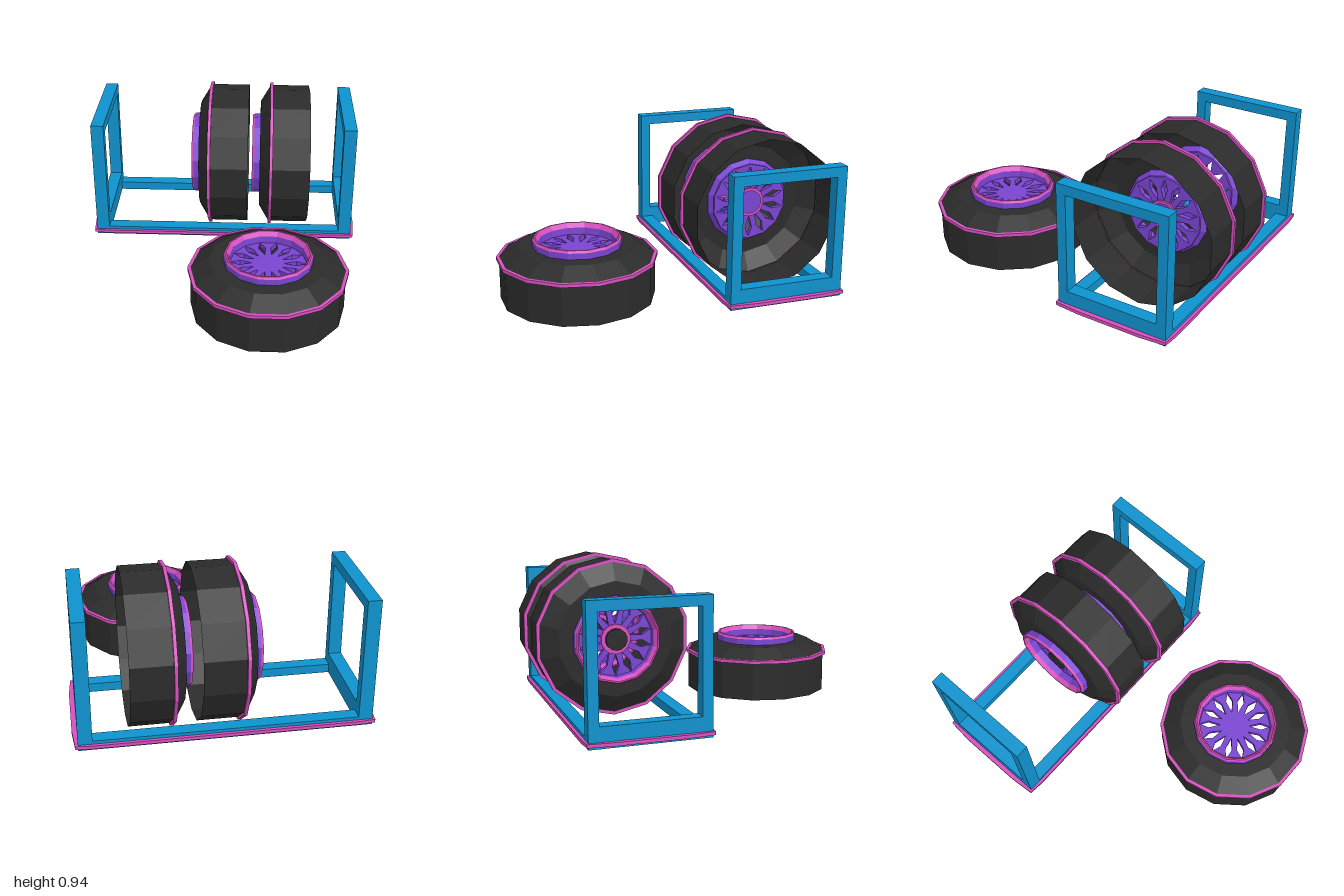
import * as THREE from 'three';

const SIDES = 14;

function material(name, color) {
  return new THREE.MeshStandardMaterial({ name, color, flatShading: true, side: THREE.DoubleSide });
}

export function createModel() {
  const black = material('black rubber', 0x2b2b2b);
  const pink = material('pink trim', 0xd850c0);
  const purple = material('purple metal', 0x7a45d2);
  const blue = material('blue frame', 0x0f92ce);

  const model = new THREE.Group();
  model.name = 'wheelRack';

  function add(parent, name, geometry, mat) {
    const mesh = new THREE.Mesh(geometry, mat);
    mesh.name = name;
    parent.add(mesh);
    return mesh;
  }

  function box(parent, name, w, h, d, x, y, z) {
    add(parent, name, new THREE.BoxGeometry(w, h, d), blue).position.set(x, y, z);
  }

  // Turned part with a corner on the local x axis
  function turned(points) {
    return new THREE.LatheGeometry(points.map(([r, y]) => new THREE.Vector2(r, y)), SIDES, Math.PI / 2);
  }

  // Disc pierced by kite-shaped slits, lying flat with its underside at y
  function spokeDisc(y, thickness) {
    const shape = new THREE.Shape();
    const at = (r, a) => new THREE.Vector2(r * Math.cos(a), r * Math.sin(a));
    const outline = [];
    for (let i = 0; i < SIDES; i++) {
      const a = (i / SIDES) * Math.PI * 2;
      outline.push(at(0.236, a));
      shape.holes.push(new THREE.Path([at(0.09, a), at(0.165, a - 0.13), at(0.222, a), at(0.165, a + 0.13)]));
    }
    shape.setFromPoints(outline);
    const g = new THREE.ExtrudeGeometry(shape, { depth: thickness, bevelEnabled: false });
    return g.rotateX(-Math.PI / 2).translate(0, y, 0);
  }

  // Wheel standing on its open back, outer face up
  function wheel(name, withHub) {
    const g = new THREE.Group();
    g.name = name;
    add(g, 'tyre', turned([[0.452, 0.015], [0.452, 0.265], [0.345, 0.33], [0.25, 0.33]]), black);
    add(g, 'tyreStripe', turned([[0.451, 0.25], [0.468, 0.25], [0.468, 0.27], [0.449, 0.27]]), pink);
    add(g, 'rimBarrel', turned([[0.225, 0.28], [0.26, 0.325], [0.26, 0.366]]), purple);
    add(g, 'rimLip', turned([[0.26, 0.366], [0.252, 0.38], [0.243, 0.38], [0.226, 0.352]]), pink);
    add(g, 'rimBowl', turned([[0.226, 0.352], [0.222, 0.29]]), purple);
    add(g, 'spokes', spokeDisc(0.28, 0.03), purple);
    if (withHub) {
      add(g, 'hubRing', turned([[0.072, 0.27], [0.09, 0.27], [0.09, 0.322], [0.06, 0.322]]), pink);
      add(g, 'hubCap', turned([[0.065, 0.311], [0.065, 0.345], [0, 0.345]]), black);
    }
    model.add(g);
    return g;
  }

  // One wheel lying flat in front, two upright in the rack
  wheel('lyingWheel', false).position.set(0.29, 0, 0.544);
  [0.17, 0.56].forEach((x, i) => {
    const w = wheel('uprightWheel' + (i + 1), true);
    w.rotation.z = Math.PI / 2;
    w.position.set(x, 0.471, -0.544);
  });

  // Rack frame
  const rack = new THREE.Group();
  rack.name = 'rack';
  rack.position.z = -0.54;
  model.add(rack);
  for (const s of [-1, 1]) {
    box(rack, 'baseRail', 1.52, 0.055, 0.08, 0, 0.0575, s * 0.305);
    box(rack, 'endSill', 0.08, 0.12, 0.57, s * 0.79, 0.09, 0);
    box(rack, 'endTopBar', 0.08, 0.06, 0.57, s * 0.79, 0.78, 0);
    for (const t of [-1, 1]) box(rack, 'post', 0.08, 0.78, 0.06, s * 0.79, 0.42, t * 0.315);
  }

  // Slightly bowed trim around the base
  const trim = new THREE.Shape();
  const quarter = [[0.858, 0.2], [0.845, 0.355], [0.75, 0.364]];
  const corners = [];
  for (const [sx, sy] of [[1, 1], [-1, 1], [-1, -1], [1, -1]]) {
    const pts = quarter.map(([x, y]) => new THREE.Vector2(x * sx, y * sy));
    corners.push(...(sx * sy > 0 ? pts : pts.reverse()));
  }
  trim.setFromPoints(corners);
  const hole = [[0.8, 0.32], [0.8, -0.32], [-0.8, -0.32], [-0.8, 0.32]];
  trim.holes.push(new THREE.Path(hole.map(([x, y]) => new THREE.Vector2(x, y))));
  const trimGeometry = new THREE.ExtrudeGeometry(trim, { depth: 0.02, bevelEnabled: false });
  add(rack, 'baseTrim', trimGeometry.rotateX(-Math.PI / 2).translate(0, 0.046, 0), pink);

  return model;
}
